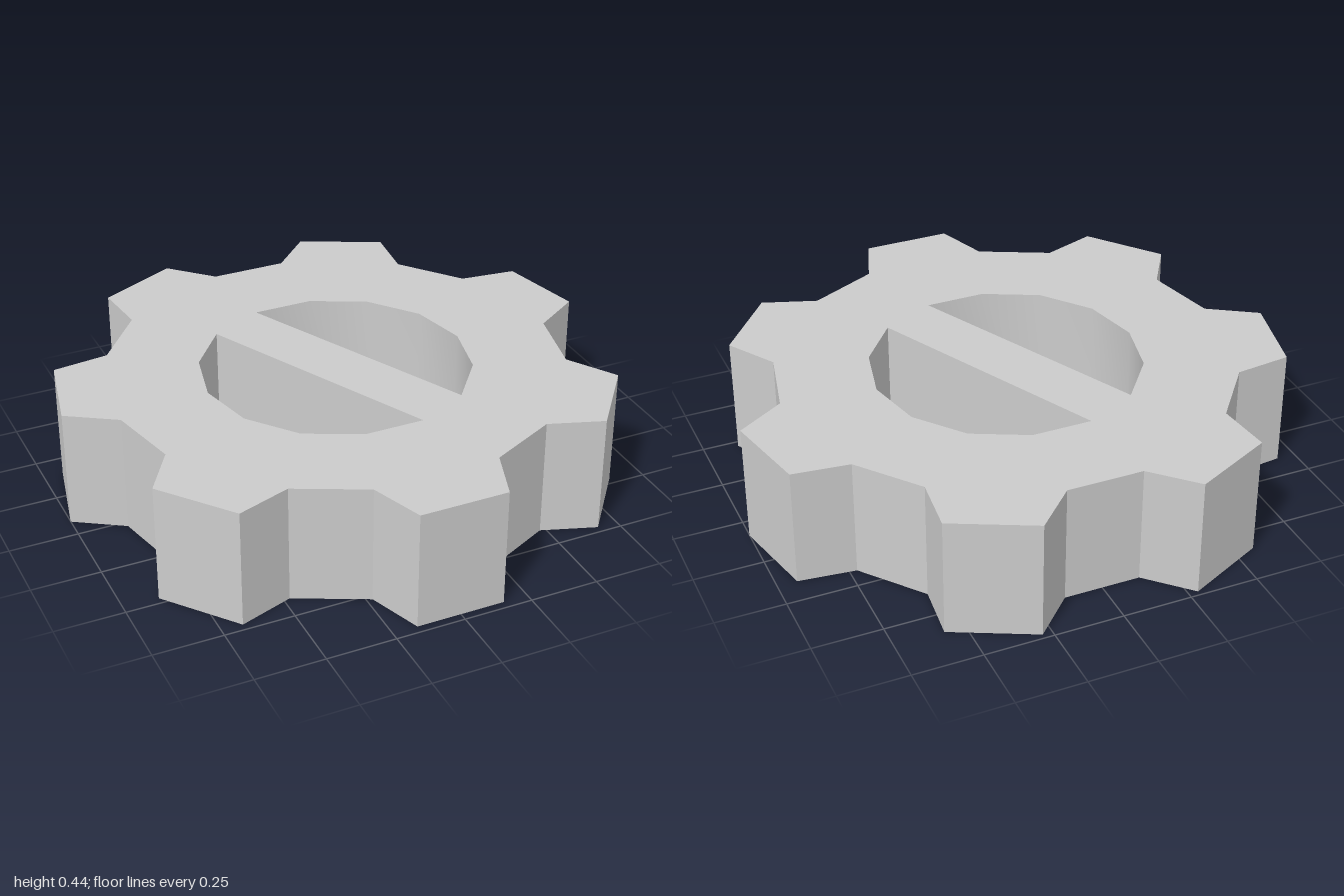
import * as THREE from 'three';
import { toCreasedNormals } from 'three/addons/utils/BufferGeometryUtils.js';

const TEETH = 7;
const HEIGHT = 0.437;
const CENTER_Z = -0.02;
const TIP_RADIUS = 1.003, TIP_HALF = 9.2;    // half angles in degrees
const ROOT_RADIUS = 0.827, ROOT_HALF = 16.1;
const HOLE_RADIUS = 0.49, HOLE_SIDES = 14;

function polar(radius, degrees) {
  const a = THREE.MathUtils.degToRad(degrees);
  return new THREE.Vector2(radius * Math.cos(a), radius * Math.sin(a) + CENTER_Z);
}

// Outer toothed outline, one tooth pointing to the front
function gearOutline() {
  const points = [];
  for (let i = 0; i < TEETH; i++) {
    const mid = 90 + (i * 360) / TEETH;
    points.push(
      polar(ROOT_RADIUS, mid - ROOT_HALF),
      polar(TIP_RADIUS, mid - TIP_HALF),
      polar(TIP_RADIUS, mid + TIP_HALF),
      polar(ROOT_RADIUS, mid + ROOT_HALF),
    );
  }
  return new THREE.Shape(points);
}

// Round segment of the bore on one side of the diagonal bar
function boreHalf(firstCorner) {
  const points = [];
  for (let k = firstCorner; k <= firstCorner + 6; k++) {
    points.push(polar(HOLE_RADIUS, (k * 360) / HOLE_SIDES));
  }
  return new THREE.Path(points);
}

export function createModel() {
  const group = new THREE.Group();
  group.name = 'gear';

  const shape = gearOutline();
  shape.holes.push(boreHalf(-4), boreHalf(3));

  // Lay the extrusion flat, standing on the ground
  const geometry = new THREE.ExtrudeGeometry(shape, { depth: HEIGHT, bevelEnabled: false });
  geometry.rotateX(Math.PI / 2).translate(0, HEIGHT, 0);

  // Bore walls are smooth, teeth and bar edges stay sharp
  const body = new THREE.Mesh(
    toCreasedNormals(geometry, 0.5),
    new THREE.MeshStandardMaterial({ color: 0xcccccc }),
  );
  body.name = 'gearWheelWithCrossbar';
  group.add(body);
  return group;
}
